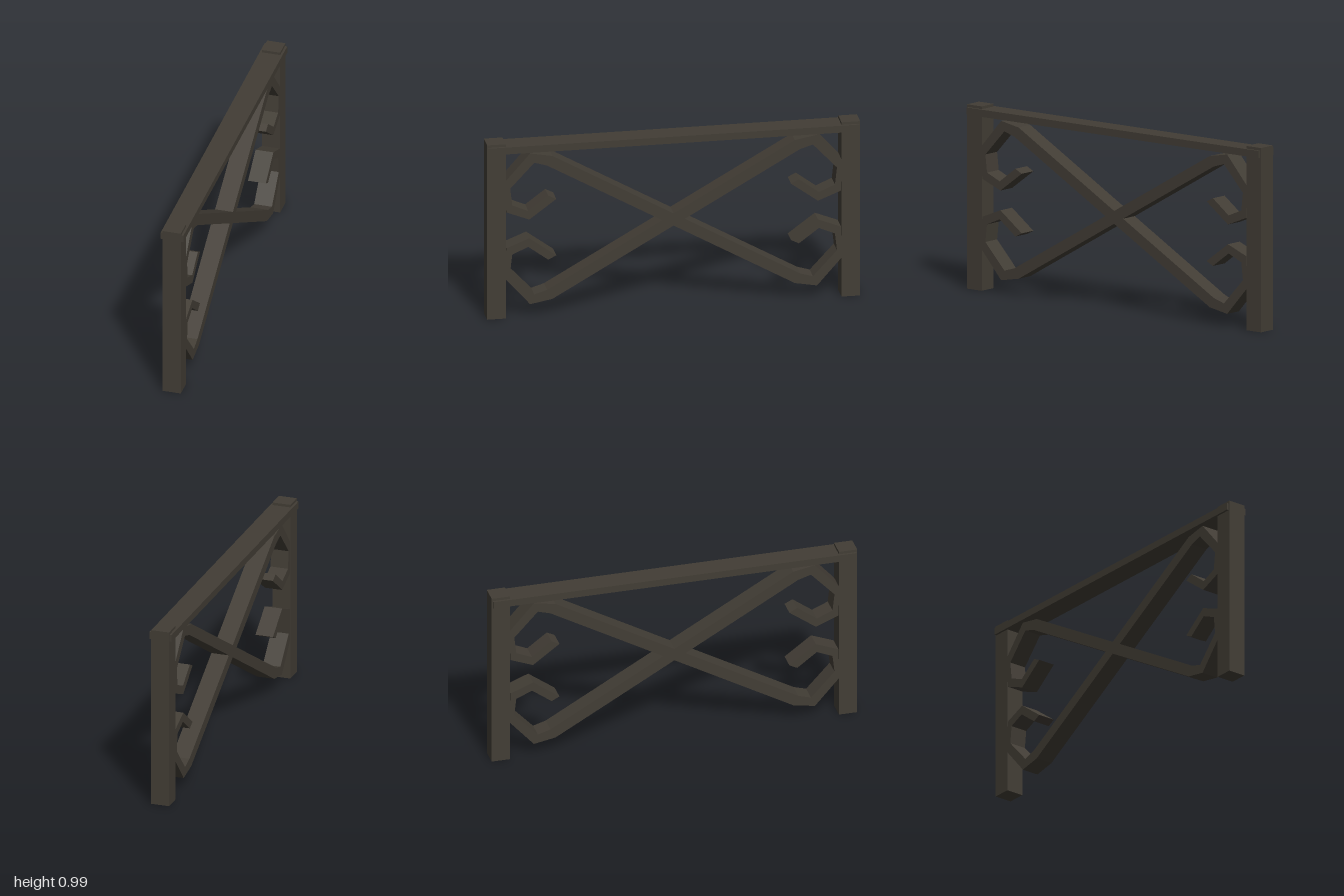
import * as THREE from 'three';

const material = new THREE.MeshStandardMaterial({ color: 0x423d35, flatShading: true });

function box(name, w, h, d, y, z) {
  const mesh = new THREE.Mesh(new THREE.BoxGeometry(w, h, d), material);
  mesh.name = name;
  mesh.position.set(0, y, z);
  return mesh;
}

// One S-shaped brace: a diagonal bar with a scroll at each end, drawn in the z-y plane
function braceGeometry(width) {
  // Scroll outline at the upper end, as [z, y]; the lower end is its half turn about (0, 0.5)
  const outer = [[0.65, 0.906], [0.769, 0.928], [0.903, 0.776], [0.897, 0.602], [0.774, 0.553], [0.629, 0.66]];
  const inner = [[0.672, 0.682], [0.779, 0.602], [0.865, 0.639], [0.876, 0.735], [0.747, 0.874], [0.678, 0.853]];
  const half = [...outer, ...inner];
  const turned = half.map(([z, y]) => [-z, 1 - y]);
  const shape = new THREE.Shape([...half, ...turned].map(([z, y]) => new THREE.Vector2(z, y)));
  const geometry = new THREE.ExtrudeGeometry(shape, { depth: width, bevelEnabled: false });
  geometry.translate(0, 0, -width / 2);
  geometry.rotateY(-Math.PI / 2);
  return geometry;
}

export function createModel() {
  const model = new THREE.Group();
  model.name = 'railing';

  // End posts
  model.add(box('frontPost', 0.1, 0.99, 0.1, 0.495, 0.95));
  model.add(box('backPost', 0.1, 0.99, 0.1, 0.495, -0.95));

  // Handrail, slightly wider than the posts
  model.add(box('handrail', 0.124, 0.039, 1.988, 0.956, 0));

  // Two crossing scroll braces, the second turned half way round
  const geometry = braceGeometry(0.098);
  ['scrollBraceA', 'scrollBraceB'].forEach((name, i) => {
    const brace = new THREE.Mesh(geometry, material);
    brace.name = name;
    brace.rotation.y = i * Math.PI;
    model.add(brace);
  });

  return model;
}
